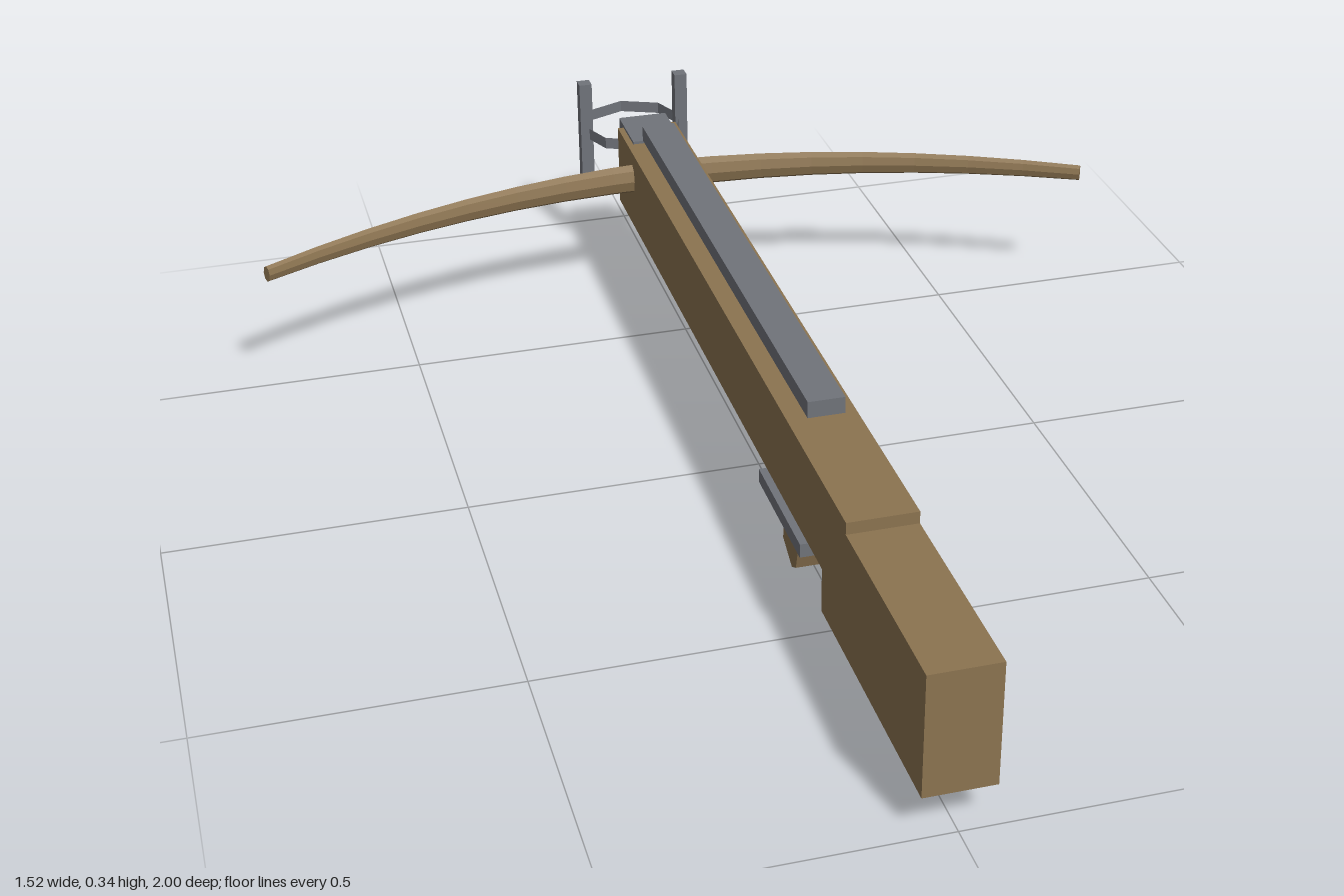
import * as THREE from 'three';

export function createModel() {
  const model = new THREE.Group();
  const mat = (name, color, side = THREE.FrontSide) =>
    Object.assign(new THREE.MeshStandardMaterial({ color, flatShading: true, side }), { name });
  const wood = mat('wood', 0x8b7350);
  const steel = mat('steel', 0x70737a, THREE.DoubleSide);

  const add = (name, geometry, material) => {
    const mesh = new THREE.Mesh(geometry, material);
    mesh.name = name;
    model.add(mesh);
    return mesh;
  };
  // Box given by its extents
  const box = (name, material, x0, x1, y0, y1, z0, z1) =>
    add(name, new THREE.BoxGeometry(x1 - x0, y1 - y0, z1 - z0), material)
      .position.set((x0 + x1) / 2, (y0 + y1) / 2, (z0 + z1) / 2);
  // Side profile of [z, y] points extruded across x
  const sideProfile = (name, points, width, material) => {
    const shape = new THREE.Shape(points.map(([z, y]) => new THREE.Vector2(-z, y)));
    const g = new THREE.ExtrudeGeometry(shape, { depth: width, bevelEnabled: false });
    g.translate(0, 0, -width / 2).rotateY(Math.PI / 2);
    add(name, g, material);
  };

  // Stock with stepped butt
  sideProfile('stock', [
    [1, 0.07], [0.54, 0.07], [0.54, 0.145], [-0.78, 0.145],
    [-0.78, 0.295], [0.65, 0.295], [0.65, 0.275], [1, 0.275],
  ], 0.112, wood);

  // Raised rail and nose block
  box('rail', steel, -0.03, 0.03, 0.308, 0.336, -0.685, 0.375);
  box('noseBlock', steel, -0.045, 0.045, 0.19, 0.3, -0.815, -0.7);

  // Bow: tapered elliptical sections swept along a parabola
  const sides = 8, steps = 16, pos = [], idx = [];
  for (let i = 0; i <= steps; i++) {
    const t = (i / steps) * 2 - 1, a = Math.abs(t);
    const slope = Math.atan(0.545 * t);
    const halfHeight = 0.029 - 0.014 * a, halfDepth = 0.018 - 0.009 * a;
    for (let j = 0; j < sides; j++) {
      const u = (j / sides) * Math.PI * 2;
      const d = Math.cos(u) * halfDepth;
      pos.push(0.757 * t - Math.sin(slope) * d, 0.242 + Math.sin(u) * halfHeight,
        -0.667 + 0.207 * t * t + Math.cos(slope) * d);
      if (i < steps) {
        const p = i * sides + j, q = i * sides + (j + 1) % sides;
        idx.push(p, p + sides, q, q, p + sides, q + sides);
      }
    }
  }
  // End caps of the bow
  const last = steps * sides;
  for (let j = 1; j < sides - 1; j++) {
    idx.push(0, j, j + 1, last, last + j + 1, last + j);
  }
  const bow = new THREE.BufferGeometry();
  bow.setAttribute('position', new THREE.Float32BufferAttribute(pos, 3));
  bow.setIndex(idx);
  bow.computeVertexNormals();
  add('bow', bow, wood);

  // Stirrup: two posts, a foot bar and a thin horizontal band
  for (const s of [-1, 1]) {
    box('stirrupPost', steel, s * 0.094 - 0.012, s * 0.094 + 0.012, 0.125, 0.345, -0.908, -0.884);
  }
  box('stirrupFootBar', steel, -0.094, 0.094, 0.125, 0.15, -0.908, -0.884);
  add('stirrupBand', new THREE.CylinderGeometry(0.097, 0.097, 0.022, 8, 1, true), steel)
    .position.set(0, 0.242, -0.903);

  // Trigger guard frame
  for (const s of [-1, 1]) {
    box('guardSide', steel, s * 0.042 - 0.012, s * 0.042 + 0.012, 0.088, 0.112, 0.19, 0.42);
  }
  box('guardRear', steel, -0.03, 0.03, 0.088, 0.112, 0.396, 0.42);
  box('guardFront', steel, -0.03, 0.03, 0.088, 0.112, 0.19, 0.214);

  // Trigger grip and lever
  sideProfile('triggerGrip', [
    [0.375, 0.15], [0.337, 0.012], [0.315, 0], [0.266, 0.025], [0.266, 0.05], [0.295, 0.15],
  ], 0.07, wood);
  box('triggerLever', wood, -0.02, 0.02, 0.022, 0.05, 0.1, 0.29);

  return model;
}
